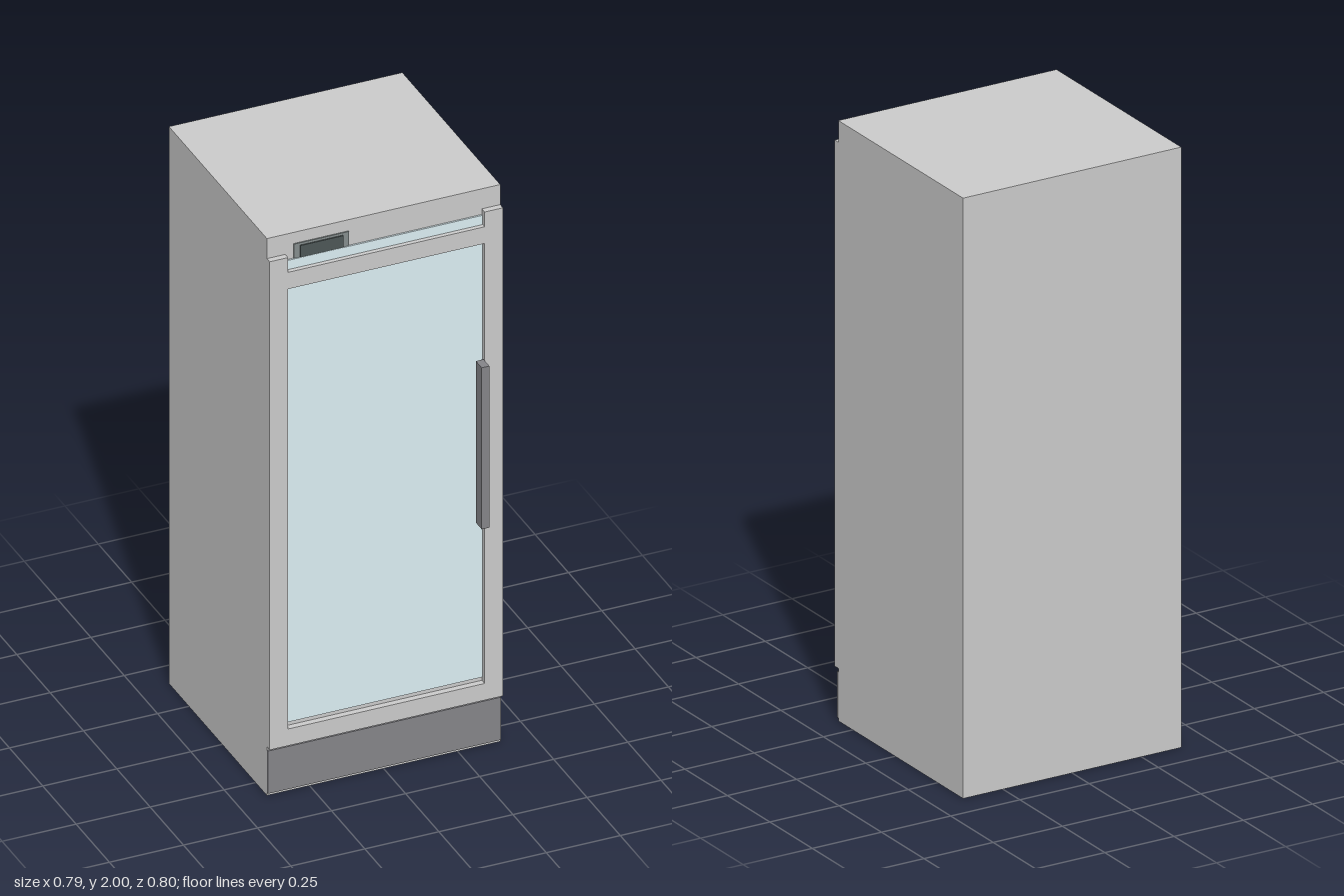
import * as THREE from 'three';

const material = (color) => new THREE.MeshStandardMaterial({ color });
const grey = material(0xcccccc);
const darkGrey = material(0x858589);
const glassBlue = material(0xdceef3);
const panelGrey = material(0x858d8d);
const displayDark = material(0x4d5757);

// Box given by its two extreme corners
function box(name, mat, [x0, y0, z0], [x1, y1, z1]) {
  const mesh = new THREE.Mesh(new THREE.BoxGeometry(x1 - x0, y1 - y0, z1 - z0), mat);
  mesh.name = name;
  mesh.position.set((x0 + x1) / 2, (y0 + y1) / 2, (z0 + z1) / 2);
  return mesh;
}

const polygon = (points, Type) => new Type(points.map(([x, y]) => new THREE.Vector2(x, y)));

export function createModel() {
  const model = new THREE.Group();
  model.name = 'displayRefrigerator';

  const half = 0.394; // half width of the cabinet
  const inner = 0.332; // half width of the door opening
  const front = 0.335; // front plane of the cabinet

  model.add(box('cabinet', grey, [-half, 0, -0.4], [half, 2, front]));
  model.add(box('kickPlate', darkGrey, [-half, 0.01, front], [half, 0.163, 0.342]));

  // Door frame: stiles rise above the top rail, leaving a shallow notch
  const outline = polygon([
    [-half, 0.175], [half, 0.175], [half, 1.928], [inner, 1.928],
    [inner, 1.875], [-inner, 1.875], [-inner, 1.928], [-half, 1.928],
  ], THREE.Shape);
  outline.holes.push(polygon([
    [-inner, 0.235], [-inner, 1.815], [inner, 1.815], [inner, 0.235],
  ], THREE.Path));
  const frame = new THREE.Mesh(
    new THREE.ExtrudeGeometry(outline, { depth: 0.356 - front, bevelEnabled: false }), grey);
  frame.name = 'doorFrame';
  frame.position.z = front;
  model.add(frame);

  // Glass pane behind the frame, showing in the notch above the top rail
  model.add(box('doorGlass', glassBlue, [-inner, 0.25, front], [inner, 1.908, 0.341]));

  // Door handle
  model.add(box('doorHandle', darkGrey, [0.302, 0.82, 0.356], [0.328, 1.4, 0.4]));

  // Control panel with its recessed-looking display
  model.add(box('controlPanel', panelGrey, [-0.305, 1.909, front], [-0.118, 1.96, 0.339]));
  model.add(box('controlDisplay', displayDark, [-0.284, 1.91, 0.339], [-0.139, 1.952, 0.343]));

  return model;
}
